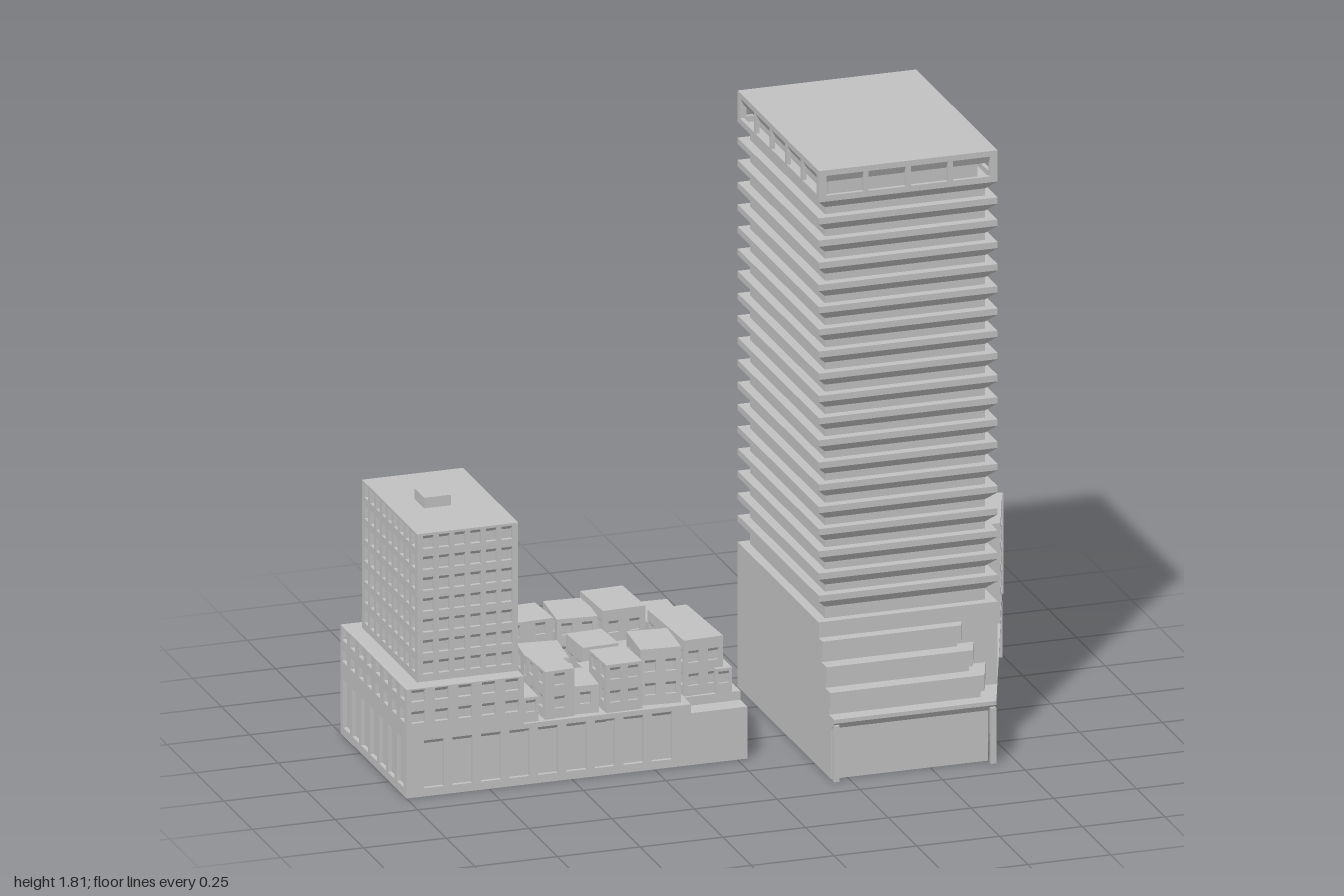
import * as THREE from 'three';
import { mergeGeometries } from 'three/addons/utils/BufferGeometryUtils.js';

const concrete = new THREE.MeshStandardMaterial({ color: 0xc0c0c0 });
concrete.name = 'concrete grey';

// Plans are convex [x, z] outlines: front edge first, then right, back, left.
const rect = (x0, x1, z0, z1) => [[x0, z1], [x1, z1], [x1, z0], [x0, z0]];

// Move each edge of a plan inward by its own distance
function inset(plan, dist) {
  const n = plan.length;
  const lines = plan.map((a, i) => {
    const b = plan[(i + 1) % n], L = Math.hypot(b[0] - a[0], b[1] - a[1]);
    const nx = -(b[1] - a[1]) / L, nz = (b[0] - a[0]) / L;
    const d = Array.isArray(dist) ? dist[i] : dist;
    return [nx, nz, nx * a[0] + nz * a[1] - d];
  });
  return lines.map((l, i) => {
    const k = lines[(i + n - 1) % n], det = k[0] * l[1] - k[1] * l[0];
    return [(k[2] * l[1] - k[1] * l[2]) / det, (k[0] * l[2] - k[2] * l[0]) / det];
  });
}

// Flat-shaded solid through stacked [plan, y] rings
function loft(parent, name, rings) {
  const pos = [], n = rings[0][0].length;
  const put = (r, i) => pos.push(r[0][i % n][0], r[1], r[0][i % n][1]);
  for (let k = 0; k + 1 < rings.length; k++) {
    const a = rings[k], b = rings[k + 1];
    for (let i = 0; i < n; i++) {
      put(a, i); put(a, i + 1); put(b, i + 1);
      put(a, i); put(b, i + 1); put(b, i);
    }
  }
  const lo = rings[0], hi = rings[rings.length - 1];
  for (let i = 1; i < n - 1; i++) {
    put(hi, 0); put(hi, i); put(hi, i + 1);
    put(lo, 0); put(lo, i + 1); put(lo, i);
  }
  const g = new THREE.BufferGeometry();
  g.setAttribute('position', new THREE.Float32BufferAttribute(pos, 3));
  g.computeVertexNormals();
  const mesh = new THREE.Mesh(g, concrete);
  mesh.name = name;
  parent.add(mesh);
}
const prism = (parent, name, plan, y0, y1) => loft(parent, name, [[plan, y0], [plan, y1]]);

// Wall from a to b; openings are [count, width, sills, height, start, end], with sloping heads
function facade(parent, name, a, b, y0, y1, openings, d, head) {
  const L = Math.hypot(b[0] - a[0], b[1] - a[1]);
  const shape = new THREE.Shape([[0, y0], [L, y0], [L, y1], [0, y1]].map(p => new THREE.Vector2(...p)));
  const parts = [];
  for (const [n, w, sills, h, start = 0, end = L] of openings) {
    for (const y of sills) for (let i = 0; i < n; i++) {
      const x = start + (end - start) * (i + 0.5) / n - w / 2, t = y + h;
      shape.holes.push(new THREE.Path([[x, y], [x, t], [x + w, t], [x + w, y]].map(p => new THREE.Vector2(...p))));
      const wedge = new THREE.Shape([[0, t], [d, t], [d, t - head]].map(p => new THREE.Vector2(...p)));
      parts.push(new THREE.ExtrudeGeometry(wedge, { depth: w, bevelEnabled: false }).rotateY(Math.PI / 2).translate(x, 0, 0));
    }
  }
  parts.push(new THREE.ExtrudeGeometry(shape, { depth: d, bevelEnabled: false }).translate(0, 0, -d));
  const mesh = new THREE.Mesh(mergeGeometries(parts), concrete);
  mesh.name = name;
  mesh.position.set(a[0], 0, a[1]);
  mesh.rotation.y = Math.atan2(-(b[1] - a[1]), b[0] - a[0]);
  parent.add(mesh);
}

// Solid block wrapped in four facades with recessed windows
function building(parent, name, plan, y0, y1, specs, { d = 0.012, head = 0.012, core = d } = {}) {
  const g = new THREE.Group();
  g.name = name;
  prism(g, 'core', inset(plan, core), y0, y1);
  plan.forEach((a, i) => facade(g, 'facade', a, plan[(i + 1) % 4], y0, y1, specs[i] || [], d, head));
  parent.add(g);
}

export function createModel() {
  const model = new THREE.Group();
  model.name = 'cityBlock';

  // ---- High-rise ----
  const high = new THREE.Group();
  high.name = 'highRise';
  model.add(high);
  const site = [[0.2, 0.42], [0.69, 0.42], [1, -0.43], [0.2, -0.43]];
  const tower = rect(0.2, 0.74, -0.43, 0.285);

  // Recessed ground floor, slab with sloping soffit, corner columns
  prism(high, 'groundFloor', inset(site, [0.03, 0.025, 0.21, 0]), 0, 0.16);
  prism(high, 'groundFloorRear', rect(0.2, 0.745, -0.43, -0.2), 0, 0.16);
  prism(high, 'groundFloorWing', inset(site, [0.62, 0.045, 0.025, 0.5]), 0, 0.16);
  loft(high, 'podiumSlab', [[inset(site, [0.025, 0.022, 0, 0]), 0.155], [site, 0.178], [site, 0.19]]);
  for (const [x, z] of [[0.208, 0.412], [0.682, 0.412], [0.988, -0.422]])
    prism(high, 'column', rect(x - 0.008, x + 0.008, z - 0.008, z + 0.008), 0, 0.17);

  // Stepped terraces with overhanging parapets
  for (let k = 1; k <= 4; k++) {
    const plan = inset(site, [0.034 * k, 0.034 * k, 0.13, 0]);
    const wall = inset(plan, [0.012, 0.012, 0, 0]), y = 0.19 + 0.0665 * (k - 1);
    const top = k < 4 ? y + 0.07 : 0.435;
    loft(high, 'terrace', [[wall, y], [wall, y + 0.022], [plan, y + 0.022], [plan, top]]);
  }

  // Tower base and rear wing
  const strips = [0.21, 0.277, 0.343], wingRows = [0.215, 0.283, 0.352, 0.42];
  building(high, 'towerBase', tower, 0.19, 0.44, [, , [[1, 0.52, strips, 0.05]]]);
  const wing = [[0.74, -0.19], [0.912, -0.19], [1, -0.43], [0.74, -0.43]];
  building(high, 'rearWing', wing, 0.19, 0.495, [
    [[2, 0.04, [0.42], 0.045, 0.01, 0.16], [1, 0.04, [0.352], 0.045, 0.085, 0.16]],
    [[3, 0.042, wingRows, 0.045, 0.02, 0.24]],
    [[2, 0.04, wingRows, 0.045, 0.015, 0.125], [1, 0.115, strips, 0.05, 0.135, 0.255]],
  ]);

  // Shaft: nineteen floors, each flaring out to a thin band
  const shaft = inset(tower, 0.028), rings = [[shaft, 0.435]];
  for (let i = 0; i < 19; i++) {
    const y = 0.475 + 0.0675 * i;
    rings.push([shaft, y], [tower, y + 0.027]);
    if (i < 18) rings.push([tower, y + 0.046], [shaft, y + 0.046]);
  }
  loft(high, 'shaft', rings);

  // Open gallery below the roof
  const bays = n => [[n, n === 4 ? 0.112 : 0.122, [1.735], 0.06, 0.015, n === 4 ? 0.525 : 0.7]];
  building(high, 'topGallery', tower, 1.717, 1.81, [bays(4), bays(5), bays(4), bays(5)],
    { head: 0.022, core: 0.045 });
  prism(high, 'roof', tower, 1.797, 1.812);

  // ---- Low complex ----
  const low = new THREE.Group();
  low.name = 'lowComplex';
  model.add(low);
  const tall = (n, start, end) => [[n, 0.06, [0.025], 0.145, start, end]];
  building(low, 'podium', rect(-1, -0.14, -0.43, 0.15), 0, 0.185,
    [tall(9, 0.04, 0.815), , tall(9, 0.02, 0.84), tall(7, 0.015, 0.565)]);
  building(low, 'podiumEast', rect(-0.14, 0.03, -0.43, 0.09), 0, 0.185, [, , tall(2)]);
  prism(low, 'podiumCorner', rect(-0.14, 0.03, 0.08, 0.15), 0, 0.158);

  const rows = [0.225, 0.29], opening = n => [[n, 0.04, rows, 0.036]];
  building(low, 'midBlock', rect(-1, -0.645, -0.43, 0.15), 0.185, 0.33,
    [opening(5), opening(8), opening(5), opening(8)]);
  const floors = Array.from({ length: 7 }, (_, i) => 0.352 + 0.0635 * i);
  const small = n => [[n, 0.032, floors, 0.04, 0.01, n === 6 ? 0.295 : 0.475]];
  building(low, 'slabTower', rect(-0.95, -0.645, -0.385, 0.1), 0.33, 0.78,
    [small(6), small(9), small(6), small(9)]);
  prism(low, 'roofBox', rect(-0.86, -0.78, -0.185, -0.1), 0.78, 0.812);

  // Cluster of slightly turned houses: centre x, z, width, depth, height, turn
  const houses = [
    [-0.49, -0.35, 0.16, 0.14, 0.33, 0.06], [-0.475, -0.18, 0.12, 0.15, 0.275, -0.1],
    [-0.34, -0.33, 0.12, 0.16, 0.335, -0.08], [-0.33, -0.165, 0.11, 0.13, 0.3, 0.06],
    [-0.215, -0.32, 0.13, 0.18, 0.355, 0.04], [-0.08, -0.31, 0.11, 0.2, 0.3, -0.05],
    [-0.62, 0.02, 0.045, 0.24, 0.26, 0], [-0.535, 0.06, 0.09, 0.15, 0.33, 0.05],
    [-0.445, 0.05, 0.08, 0.15, 0.27, -0.07], [-0.34, 0.07, 0.11, 0.14, 0.33, 0.03],
    [-0.34, -0.05, 0.12, 0.09, 0.26, 0.05], [-0.215, 0.04, 0.12, 0.16, 0.355, -0.08],
    [-0.085, -0.06, 0.12, 0.28, 0.355, 0.05], [-0.205, -0.13, 0.1, 0.14, 0.27, 0.04],
    [-0.02, 0.05, 0.05, 0.08, 0.26, 0],
  ];
  for (const [x, z, w, depth, h, turn] of houses) {
    const house = new THREE.Group();
    house.name = 'house';
    const sills = [0.215, 0.285].filter(y => y + 0.04 < h);
    const face = len => [[Math.max(1, Math.floor(len / 0.055)), 0.032, sills, 0.036]];
    building(house, 'walls', rect(-w / 2, w / 2, -depth / 2, depth / 2), 0.155, h,
      [face(w), face(depth), face(w), face(depth)], { d: 0.008, head: 0.01 });
    house.position.set(x, 0, z);
    house.rotation.y = turn;
    low.add(house);
  }
  return model;
}
